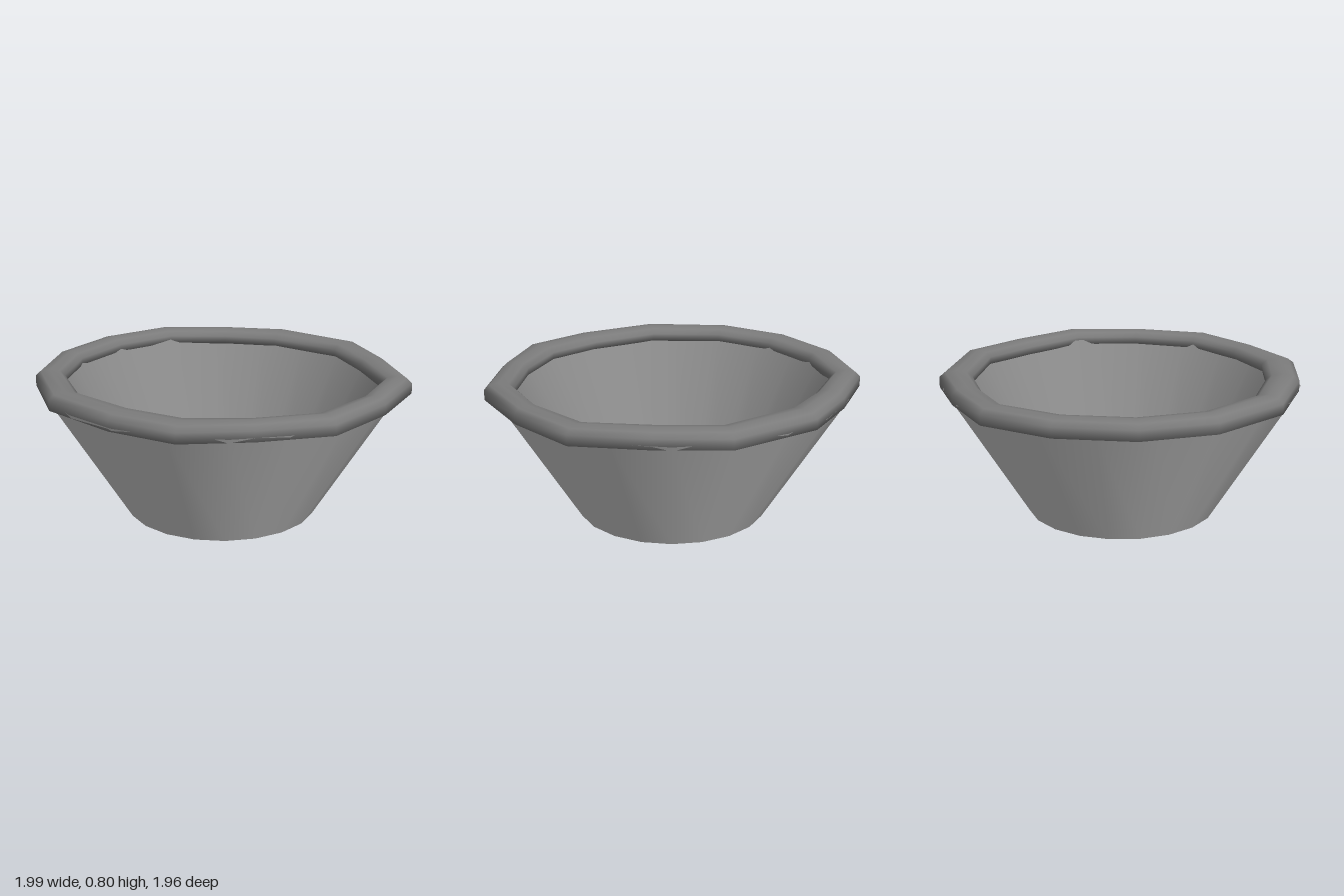
import * as THREE from 'three';

const grey = (color) => new THREE.MeshStandardMaterial({ color, side: THREE.DoubleSide });
const shellGrey = grey(0xcccccc);
const innerGrey = grey(0x8a8a8a);
const rimGrey = grey(0x7c7c7c);

function add(group, name, geometry, material) {
  const mesh = new THREE.Mesh(geometry, material);
  mesh.name = name;
  group.add(mesh);
}

// Surface turned around the y axis from [radius, height] points
function turned(points, sides = 20) {
  return new THREE.LatheGeometry(points.map(([r, y]) => new THREE.Vector2(r, y)), sides);
}

// Uneven hand-bent ring: one cross-section swept around a rough polygon
function rimGeometry() {
  const path = [ // x, z, half width
    [-0.17, -0.89, 0.09], [0.295, -0.875, 0.085], [0.59, -0.66, 0.08],
    [0.87, -0.4, 0.08], [0.925, -0.02, 0.07], [0.87, 0.37, 0.08],
    [0.615, 0.645, 0.075], [0.33, 0.85, 0.095], [-0.02, 0.88, 0.09],
    [-0.435, 0.81, 0.085], [-0.77, 0.535, 0.08], [-0.92, 0.19, 0.08],
    [-0.92, -0.2, 0.08], [-0.775, -0.555, 0.08], [-0.475, -0.755, 0.08],
  ];
  const section = [ // outward offset in half widths, height
    [1, 0.765], [0.65, 0.79], [0, 0.8], [-0.65, 0.79], [-1, 0.765],
    [-0.95, 0.725], [-0.5, 0.71], [0.5, 0.708], [1, 0.708],
  ];
  const n = path.length, m = section.length;
  const positions = [], index = [];
  path.forEach(([x, z, w], i) => {
    const r = Math.hypot(x, z);
    section.forEach(([d, y], j) => {
      const s = 1 + d * w / r;
      positions.push(x * s, y, z * s);
      const a = i * m + j, b = i * m + (j + 1) % m;
      const c = ((i + 1) % n) * m + j, e = ((i + 1) % n) * m + (j + 1) % m;
      index.push(a, b, c, b, e, c);
    });
  });
  const geometry = new THREE.BufferGeometry();
  geometry.setAttribute('position', new THREE.Float32BufferAttribute(positions, 3));
  geometry.setIndex(index);
  geometry.computeVertexNormals();
  return geometry;
}

export function createModel() {
  const bowl = new THREE.Group();
  bowl.name = 'bowl';

  // Flared outer shell, open at the foot
  add(bowl, 'outerWall', turned([[0.525, 0], [0.978, 0.73]]), shellGrey);

  // Darker inner shell, its floor slightly recessed above the foot edge
  add(bowl, 'innerWall', turned([[0.88, 0.75], [0.47, 0.022]]), innerGrey);
  add(bowl, 'floor', turned([[0.47, 0.022], [0, 0.022]]), innerGrey);

  add(bowl, 'rim', rimGeometry(), rimGrey);
  return bowl;
}
